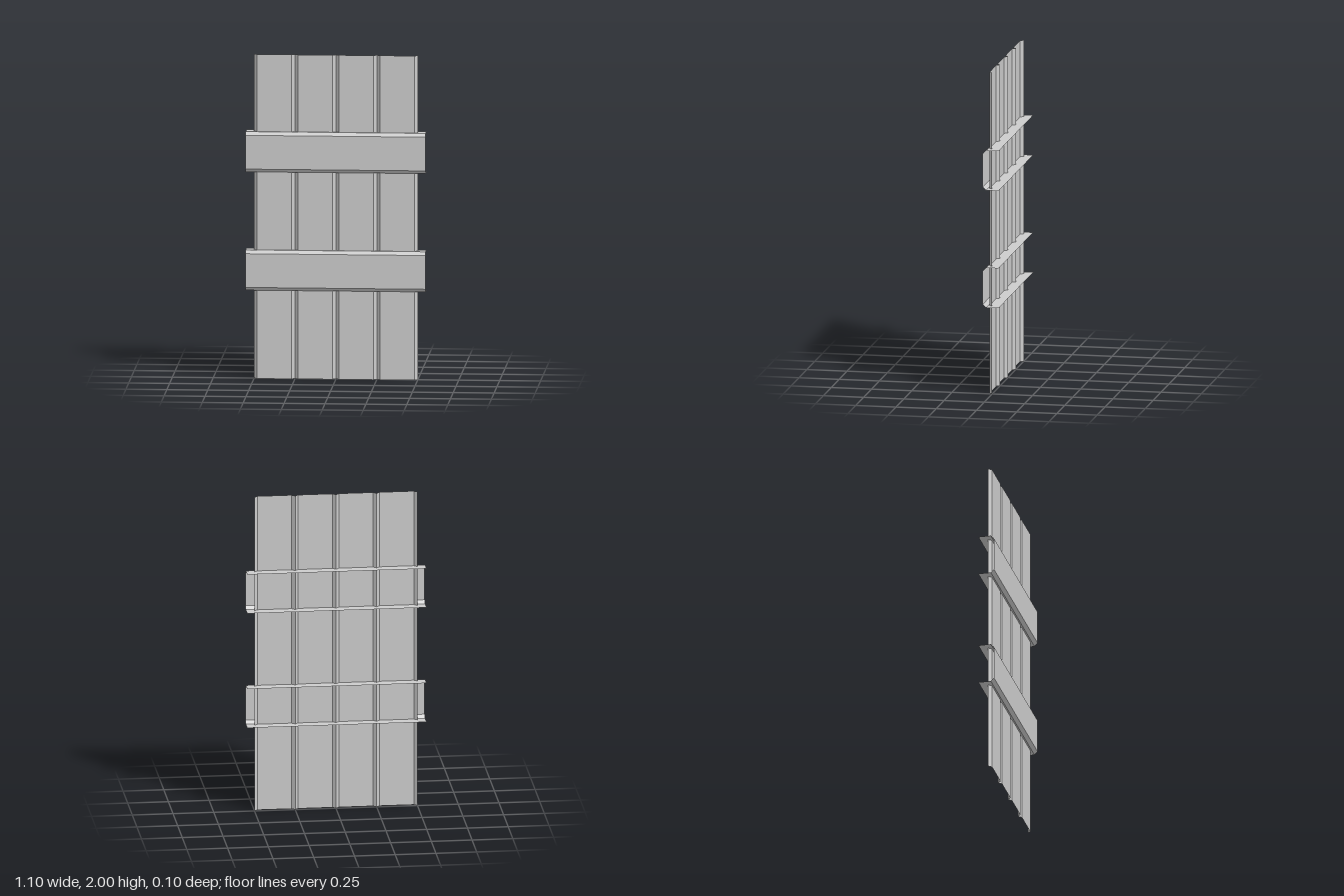
import * as THREE from 'three';

const material = new THREE.MeshStandardMaterial({ color: 0xcccccc, flatShading: true, side: THREE.DoubleSide });

// Folded sheet: sweeps an open cross-section from one end to the other.
// start(p) and end(p) place a profile point at either end of the sweep.
function foldedSheet(name, profile, start, end) {
  const positions = [];
  for (let i = 0; i < profile.length - 1; i++) {
    const a = start(profile[i]), b = start(profile[i + 1]);
    const c = end(profile[i + 1]), d = end(profile[i]);
    positions.push(...a, ...b, ...c, ...a, ...c, ...d);
  }
  const geometry = new THREE.BufferGeometry();
  geometry.setAttribute('position', new THREE.Float32BufferAttribute(positions, 3));
  geometry.computeVertexNormals();
  const mesh = new THREE.Mesh(geometry, material);
  mesh.name = name;
  return mesh;
}

export function createModel() {
  const group = new THREE.Group();
  group.name = 'pannelledSheetWithRails';

  // Upright sheet: four flat panels divided by shallow V grooves
  const panels = 4, pitch = 0.25, fold = 0.02, height = 2;
  const section = [[-0.5, 0]];
  for (let i = 0; i < panels; i++) {
    const left = -0.5 + i * pitch, right = left + pitch;
    section.push([left + fold, fold], [right - fold, fold], [right, 0]);
  }
  group.add(foldedSheet('groovedSheet', section,
    ([x, z]) => [x, 0, z], ([x, z]) => [x, height, z]));

  // Horizontal channel rails, open at the back, with chamfered front edges
  const half = 0.124, depth = 0.049, bevel = 0.02, reach = 0.55;
  const channel = [
    [half, -depth], [half, depth - bevel], [half - bevel, depth],
    [bevel - half, depth], [-half, depth - bevel], [-half, -depth],
  ];
  [['lowerRail', 0.67], ['upperRail', 1.4]].forEach(([name, y]) => {
    const rail = foldedSheet(name, channel,
      ([v, z]) => [-reach, v, z], ([v, z]) => [reach, v, z]);
    rail.position.y = y;
    group.add(rail);
  });

  return group;
}
